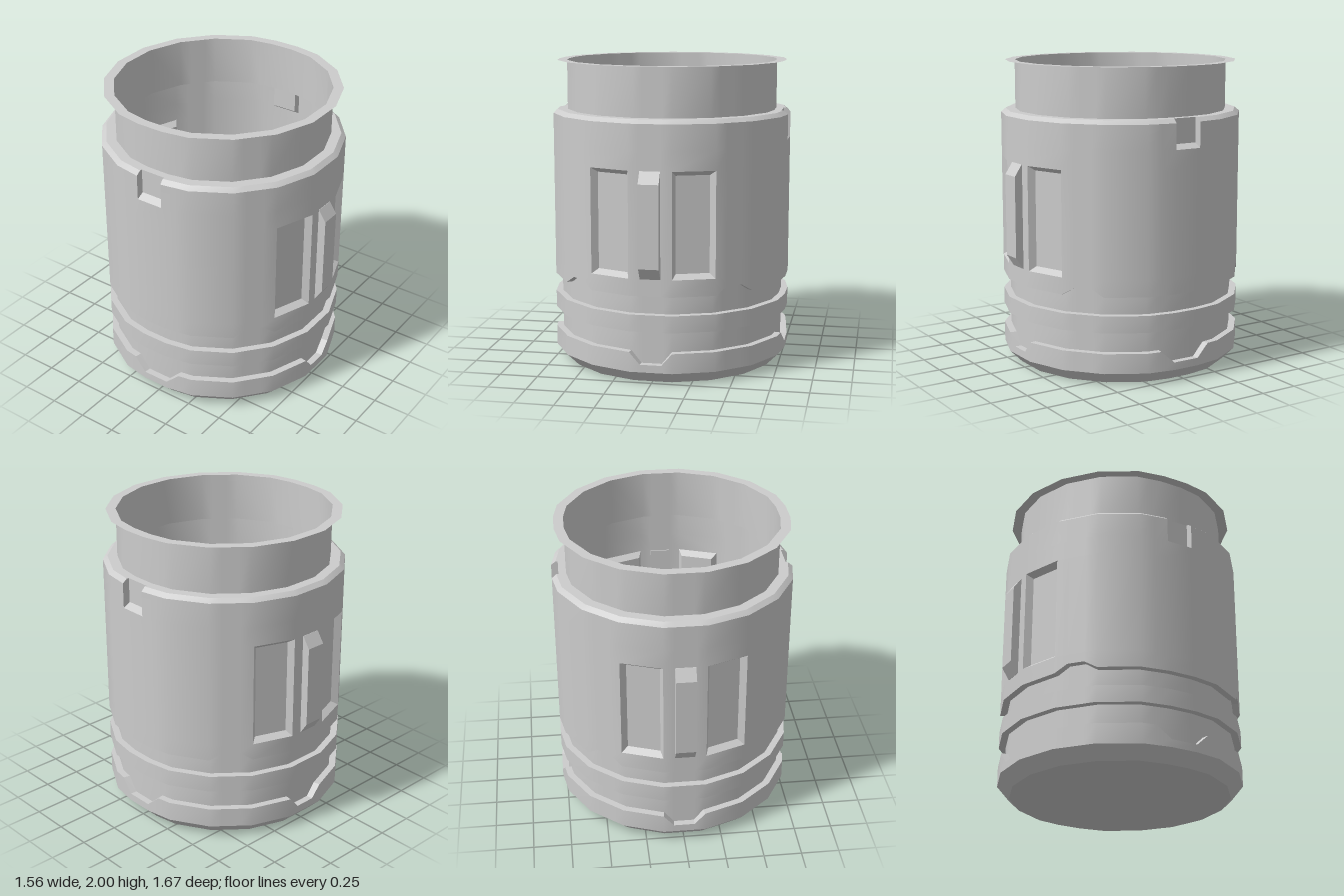
import * as THREE from 'three';
import { toCreasedNormals } from 'three/addons/utils/BufferGeometryUtils.js';

const R = 0.795;        // outer wall
const GROOVE = 0.75;    // grooves between the bands
const NOTCH = 0.75;     // back of the upper side notches
const PANEL = { low: 0.685, high: 1.365, inset: 0.11, depth: 0.04 };

// Corners of an 18-sided unit outline whose two side corners are cut flat
function outline() {
  const at = d => new THREE.Vector2(Math.sin(d * Math.PI / 180), Math.cos(d * Math.PI / 180));
  const pts = [];
  for (let d = -10; d < 350; d += 20) {
    if (d === 90 || d === 270) {
      pts.push(at(d).lerp(at(d - 20), 1 / 3), at(d).lerp(at(d + 20), 1 / 3));
    } else pts.push(at(d));
  }
  return pts;
}

export function createModel() {
  const metal = new THREE.MeshStandardMaterial({ color: 0xcccccc, side: THREE.DoubleSide });
  metal.name = 'grey metal';
  const model = new THREE.Group();
  model.name = 'canister';

  const parts = {};
  const tri = (part, a, b, c) => {
    const area = new THREE.Vector3().subVectors(b, a).cross(new THREE.Vector3().subVectors(c, a)).length();
    if (area > 1e-8) (parts[part] ??= []).push(...a.toArray(), ...b.toArray(), ...c.toArray());
  };
  const quad = (part, a, b, c, d) => { tri(part, a, b, c); tri(part, a, c, d); };

  const corners = outline();
  const count = corners.length;

  for (let i = 0; i < count; i++) {
    const a = corners[i], b = corners[(i + 1) % count];
    const mid = a.clone().add(b).normalize();
    const ax = Math.abs(mid.x), az = Math.abs(mid.y);
    const point = (s, r, y) => {
      const p = a.clone().lerp(b, s).multiplyScalar(r);
      return new THREE.Vector3(p.x, y, p.y);
    };

    // What each facet carries
    const deg = Math.atan2(ax, az) * 180 / Math.PI;
    const isFront = deg < 5, isPanel = Math.abs(deg - 20) < 5;
    const isArch = Math.abs(deg - 40) < 5, isSide = deg > 88;
    const isBesideSide = deg > 72 && !isSide;
    const sideIsNext = isBesideSide && Math.abs(b.x) > Math.abs(a.x);

    // Columns across the facet: [position, top of base band, bottom of shell]
    let columns = [[0, 0.21, 0.575], [1, 0.21, 0.575]];
    if (isFront) columns = [[0, 0.21, 0.575], [0.25, 0.13, 0.575], [0.75, 0.13, 0.575], [1, 0.21, 0.575]];
    if (isArch) columns = [[0, 0.21, 0.575], [0.3, 0.21, 0.625], [0.7, 0.21, 0.625], [1, 0.21, 0.575]];
    if (isSide) columns = [[0, 0.13, 0.575], [1, 0.13, 0.575]];
    if (isBesideSide) {
      columns = sideIsNext
        ? [[0, 0.21, 0.575], [0.5, 0.21, 0.575], [1, 0.13, 0.575]]
        : [[0, 0.13, 0.575], [0.5, 0.21, 0.575], [1, 0.21, 0.575]];
    }

    // Profile from the floor up: [radius, height, part that ends here]
    const profile = (baseTop, shellLow) => [
      [0, 0], [0.715, 0, 'floor'], [R, 0.08, 'baseBand'],
      [R, baseTop, 'baseBand'], [GROOVE, baseTop, 'baseBand'],
      [GROOVE, 0.345, 'lowerGroove'],
      [R, 0.345, 'middleRing'], [R, 0.455, 'middleRing'], [GROOVE, 0.455, 'middleRing'],
      [GROOVE, shellLow, 'upperGroove'],
      [R, shellLow, 'shell'], [R, PANEL.low, 'shell'],
      [R, PANEL.high, isPanel ? null : 'shell'], [R, 1.49, 'shell'],
      ...(isSide
        ? [[NOTCH, 1.52, 'shell'], [NOTCH, 1.68, 'shell']]
        : [[R, 1.655, 'shell'], [0.765, 1.68, 'shell']]),
      [0.7, 1.68, 'shell'], [0.7, 2, 'neck'], [0.765, 2, 'rim'],
    ];

    for (let c = 0; c + 1 < columns.length; c++) {
      const [s0, ...h0] = columns[c], [s1, ...h1] = columns[c + 1];
      const p0 = profile(...h0), p1 = profile(...h1);
      for (let k = 1; k < p0.length; k++) {
        const part = p0[k][2];
        if (!part) continue;
        quad(part,
          point(s0, p0[k - 1][0], p0[k - 1][1]), point(s1, p1[k - 1][0], p1[k - 1][1]),
          point(s1, p1[k][0], p1[k][1]), point(s0, p0[k][0], p0[k][1]));
      }
    }

    // Sunken window panel with bevelled frame
    if (isPanel) {
      const { low, high, inset, depth } = PANEL;
      const shift = new THREE.Vector3(mid.x, 0, mid.y).multiplyScalar(-depth);
      const outer = [[0, low], [1, low], [1, high], [0, high]].map(([s, y]) => point(s, R, y));
      const inner = [[inset, low + 0.03], [1 - inset, low + 0.03], [1 - inset, high - 0.03], [inset, high - 0.03]]
        .map(([s, y]) => point(s, R, y).add(shift));
      for (let k = 0; k < 4; k++) {
        const n = (k + 1) % 4;
        quad('panelFrames', outer[k], outer[n], inner[n], inner[k]);
      }
      quad('sunkenPanels', ...inner);
    }

    // Cheeks closing both ends of the upper side notch
    if (isSide) {
      for (const s of [0, 1]) {
        const p = [[R, 1.49], [NOTCH, 1.52], [NOTCH, 1.68], [0.765, 1.68], [R, 1.655]]
          .map(([r, y]) => point(s, r, y));
        if (s === 1) p.reverse();
        for (let k = 1; k < 4; k++) tri('notchCheeks', p[0], p[k], p[k + 1]);
      }
    }
  }

  for (const [name, positions] of Object.entries(parts)) {
    const geometry = new THREE.BufferGeometry();
    geometry.setAttribute('position', new THREE.Float32BufferAttribute(positions, 3));
    const mesh = new THREE.Mesh(toCreasedNormals(geometry, 0.5), metal);
    mesh.name = name;
    model.add(mesh);
  }

  // Raised bar between the panels, front and back
  const side = new THREE.Shape([[0.775, 0.685], [0.785, 0.685], [0.835, 0.76], [0.835, 1.29], [0.785, 1.365], [0.775, 1.365]]
    .map(([x, y]) => new THREE.Vector2(x, y)));
  const bar = new THREE.ExtrudeGeometry(side, { depth: 0.13, bevelEnabled: false });
  bar.translate(0, 0, -0.065).rotateY(-Math.PI / 2);
  for (const [name, turn] of [['frontBar', 0], ['backBar', Math.PI]]) {
    const mesh = new THREE.Mesh(bar, metal);
    mesh.name = name;
    mesh.rotation.y = turn;
    model.add(mesh);
  }
  return model;
}
